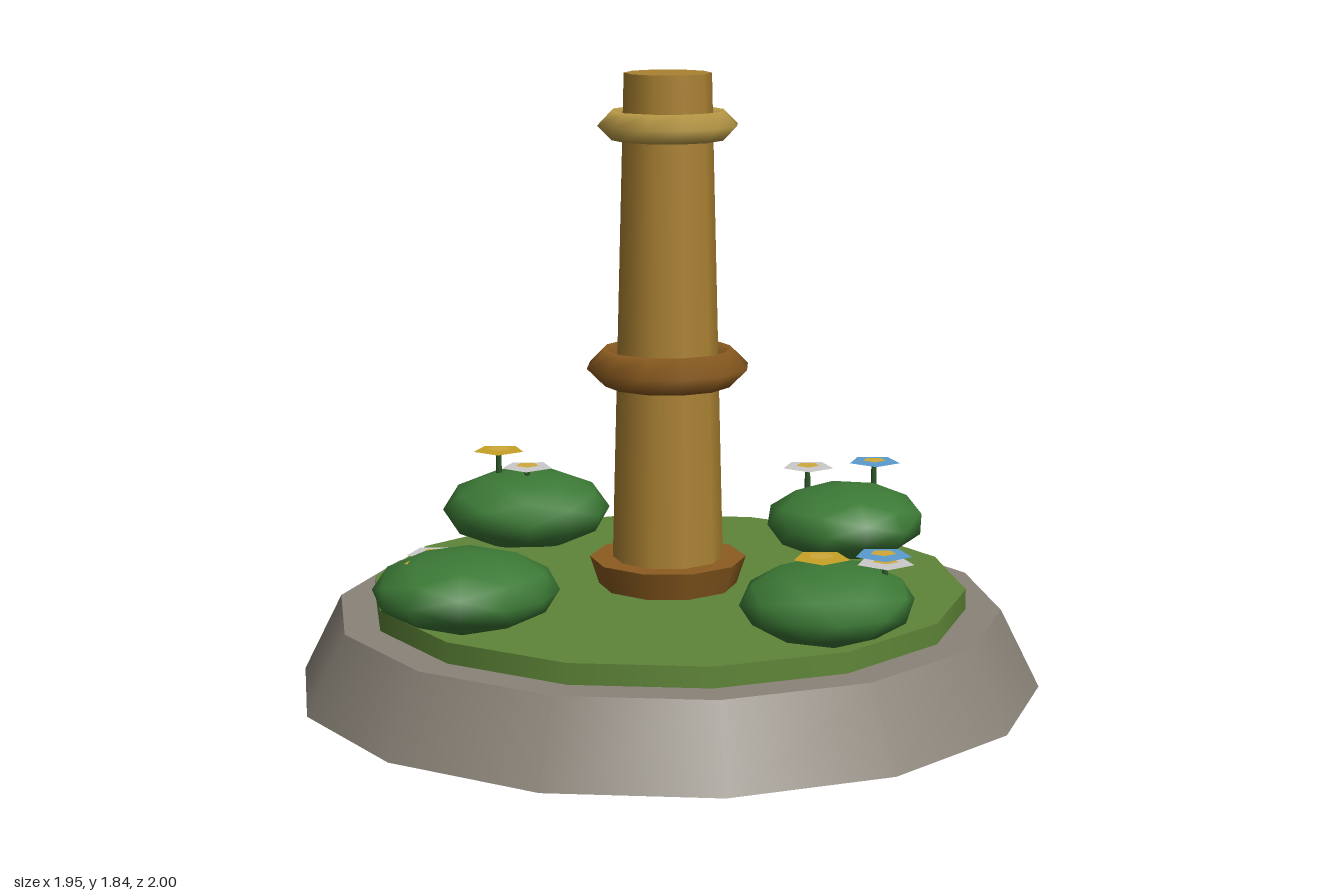
import * as THREE from 'three';

const COLORS = {
  stone: 0x8a8378, grass: 0x5f8638, wood: 0xaa8132, bronze: 0x8c5c20, brass: 0xbd9d48,
  bush: 0x3c7a36, stem: 0x2f5a2a, yellow: 0xc9a227, gold: 0xd0a93c, white: 0xd8d8d8, blue: 0x5a9bcf,
};
const materials = {};
for (const [key, color] of Object.entries(COLORS)) {
  materials[key] = new THREE.MeshStandardMaterial({ color });
}
const petalMaterials = {};
for (const key of ['yellow', 'gold', 'white', 'blue']) {
  petalMaterials[key] = materials[key];
  petalMaterials[key].side = THREE.DoubleSide;
}

function add(parent, name, geometry, material, x = 0, y = 0, z = 0) {
  const mesh = new THREE.Mesh(geometry, materials[material]);
  mesh.name = name;
  mesh.position.set(x, y, z);
  parent.add(mesh);
  return mesh;
}

// Cylinder or frustum given by its bottom and top heights
function drum(parent, name, rTop, rBottom, y0, y1, sides, material) {
  return add(parent, name, new THREE.CylinderGeometry(rTop, rBottom, y1 - y0, sides), material, 0, (y0 + y1) / 2);
}

// Collar with a diamond section
function collar(parent, name, radius, thickness, y, material) {
  const geometry = new THREE.TorusGeometry(radius, thickness, 4, 12).rotateX(Math.PI / 2);
  return add(parent, name, geometry, material, 0, y);
}

// Flat five-sided flower on a thin stem
function flower(parent, color, x, y, z) {
  const group = new THREE.Group();
  group.name = 'flower';
  group.position.set(x, y, z);
  add(group, 'flowerStem', new THREE.CylinderGeometry(0.008, 0.01, 0.12, 5), 'stem', 0, -0.06);
  add(group, 'petals', new THREE.CircleGeometry(0.075, 5).rotateX(-Math.PI / 2), color, 0, 0.001);
  add(group, 'flowerCentre', new THREE.CircleGeometry(0.034, 5).rotateX(-Math.PI / 2), 'gold', 0, 0.006);
  parent.add(group);
}

export function createModel() {
  const model = new THREE.Group();
  model.name = 'gardenPlatform';

  // Stone base and lawn
  drum(model, 'stoneBase', 0.895, 1, 0.2, 0.41, 14, 'stone');
  drum(model, 'lawn', 0.8, 0.8, 0.4, 0.465, 14, 'grass');

  // Column with flared foot and collars
  drum(model, 'columnFoot', 0.21, 0.182, 0.455, 0.54, 10, 'bronze');
  drum(model, 'column', 0.115, 0.15, 0.46, 1.835, 10, 'wood');
  collar(model, 'middleCollar', 0.17, 0.049, 1.06, 'bronze');
  collar(model, 'upperCollar', 0.15, 0.038, 1.7, 'brass');

  // Round hub under the base
  const hub = add(model, 'hub', new THREE.SphereGeometry(0.19, 10, 6).rotateY(Math.PI / 2), 'brass', 0, 0.2);
  hub.scale.y = 0.2 / 0.19;

  // Three spokes with slanted end caps
  for (let i = 0; i < 3; i++) {
    const spoke = new THREE.Group();
    spoke.name = 'spoke';
    spoke.rotation.y = (i * Math.PI * 2) / 3;
    add(spoke, 'spokeBeam', new THREE.BoxGeometry(0.72, 0.06, 0.08), 'wood', 0.38, 0.2);
    const cap = add(spoke, 'spokeEnd', new THREE.CylinderGeometry(0.05, 0.07, 0.12, 8), 'bronze', 0.767, 0.219);
    cap.rotation.z = -0.6;
    model.add(spoke);
  }

  // Bushes: x, z, width radius, depth radius, half height, turn
  const bushes = [
    [-0.55, -0.38, 0.24, 0.24, 0.11, 0.4],
    [0.36, -0.52, 0.225, 0.245, 0.1, 1.1],
    [0.535, 0.355, 0.222, 0.24, 0.1, 2.0],
    [-0.375, 0.52, 0.24, 0.245, 0.1, 2.9],
  ];
  for (const [x, z, rx, rz, h, turn] of bushes) {
    const bush = add(model, 'bush', new THREE.IcosahedronGeometry(1, 1).rotateY(turn), 'bush', x, 0.548, z);
    bush.scale.set(rx, h, rz);
  }

  // Flowers growing out of the bushes
  const flowers = [
    ['yellow', -0.635, 0.71, -0.385], ['white', -0.535, 0.675, -0.35],
    ['white', 0.235, 0.68, -0.575], ['blue', 0.41, 0.69, -0.655],
    ['yellow', 0.51, 0.65, 0.32], ['blue', 0.655, 0.655, 0.26], ['white', 0.67, 0.645, 0.3],
    ['white', -0.49, 0.615, 0.445], ['yellow', -0.455, 0.62, 0.545],
  ];
  for (const f of flowers) flower(model, ...f);

  return model;
}
